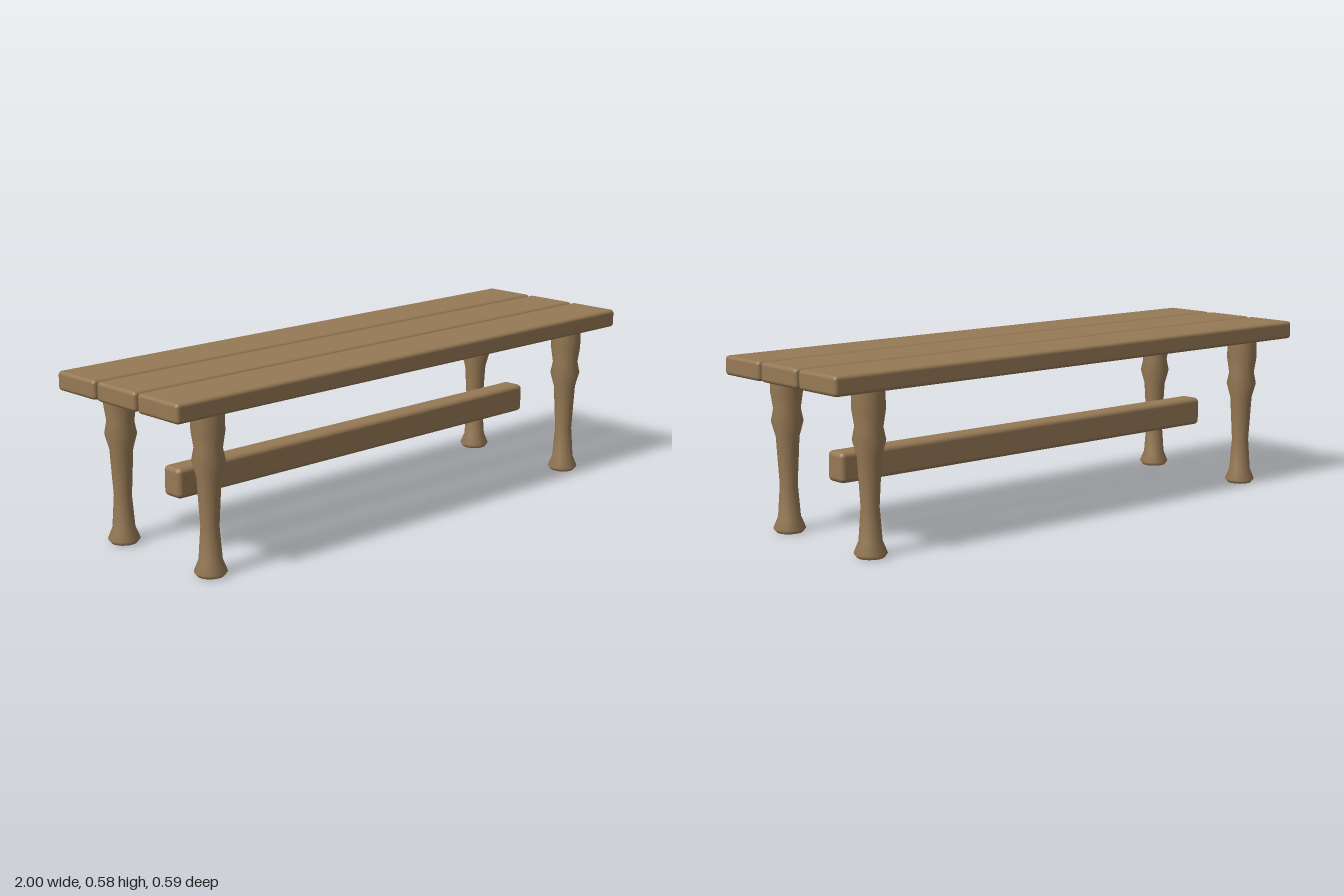
import * as THREE from 'three';
import { RoundedBoxGeometry } from 'three/addons/geometries/RoundedBoxGeometry.js';

export function createModel() {
  const bench = new THREE.Group();
  bench.name = 'bench';
  const wood = new THREE.MeshStandardMaterial({ color: 0x967955 });
  wood.name = 'wood';

  const add = (name, geometry, x, y, z) => {
    const mesh = new THREE.Mesh(geometry, wood);
    mesh.name = name;
    mesh.position.set(x, y, z);
    bench.add(mesh);
  };

  // Three seat planks with softened edges
  const plank = new RoundedBoxGeometry(2, 0.062, 0.19, 2, 0.012);
  ['backPlank', 'middlePlank', 'frontPlank'].forEach((name, i) =>
    add(name, plank, 0, 0.545, (i - 1) * 0.201));

  // Long stretcher beam, floating midway between the legs
  add('stretcher', new RoundedBoxGeometry(1.6, 0.098, 0.08, 2, 0.016), 0, 0.239, 0);

  // Turned legs: radius and height from foot to seat
  const profile = [
    [0, 0], [0.042, 0], [0.042, 0], [0.052, 0.013], [0.037, 0.05], [0.029, 0.155],
    [0.038, 0.31], [0.052, 0.36], [0.044, 0.4], [0.052, 0.452], [0.052, 0.52], [0, 0.52],
  ].map(([r, y]) => new THREE.Vector2(r, y));
  // Separate caps keep the foot rim sharp
  const leg = new THREE.LatheGeometry(profile.slice(2, -1), 16);
  const sole = new THREE.CircleGeometry(0.042, 16).rotateX(Math.PI / 2);
  for (const [side, x] of [['left', 0.825], ['right', -0.825]]) {
    for (const [end, z] of [['Front', 0.217], ['Back', -0.217]]) {
      add(`${side}${end}Leg`, leg, x, 0, z);
      add(`${side}${end}Sole`, sole, x, 0, z);
    }
  }
  return bench;
}
